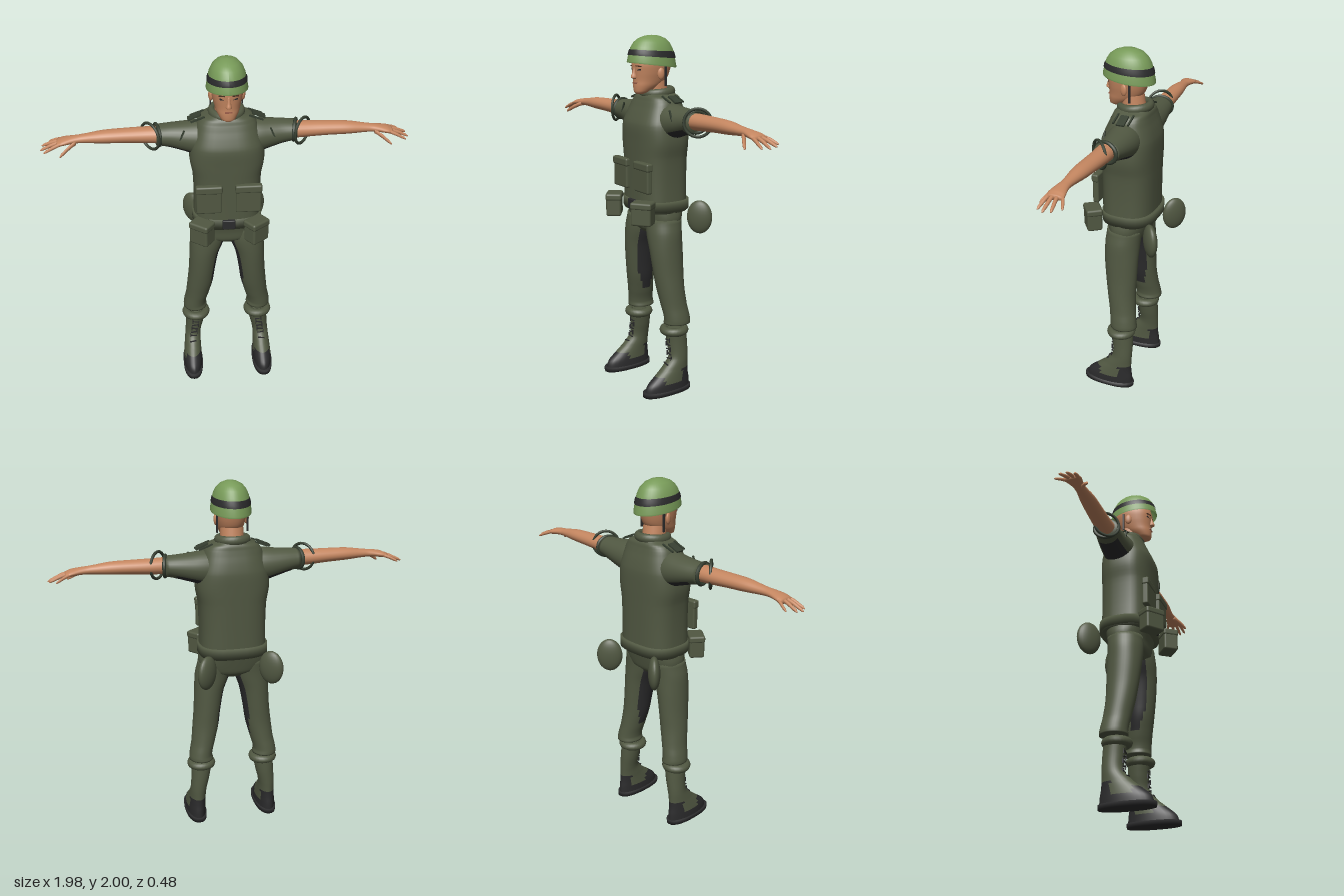
import * as THREE from 'three';
import { RoundedBoxGeometry } from 'three/addons/geometries/RoundedBoxGeometry.js';

const mat = (name, color) => {
  const m = new THREE.MeshStandardMaterial({ color });
  m.name = name;
  return m;
};

// Smooth tube through sections [t, c1, c2, r1, r2] along 'y' (c = x,z) or 'x' (c = y,z).
// pow < 1 makes the section boxier; paint(position, angle) picks a material index per quad.
function loft(sections, axis = 'y', { n = 28, pow = 1, sub = 4, paint = () => 0 } = {}) {
  const rings = [];
  const last = sections.length - 1;
  const at = (i) => sections[Math.min(Math.max(i, 0), last)];
  for (let i = 0; i < last; i++) {
    for (let s = 0; s < sub; s++) {
      const u = s / sub;
      rings.push(at(i).map((b, k) => {
        const c = at(i + 1)[k];
        if (k === 0) return b + (c - b) * u;
        const m0 = (c - at(i - 1)[k]) / 2, m1 = (at(i + 2)[k] - b) / 2;
        return b * (2 * u ** 3 - 3 * u * u + 1) + m0 * (u ** 3 - 2 * u * u + u)
          + c * (3 * u * u - 2 * u ** 3) + m1 * (u ** 3 - u * u);
      }));
    }
  }
  rings.push(sections[last]);
  const pos = [], put = (t, a, b) => pos.push(...(axis === 'y' ? [t, a, b].map((_, i) => [a, t, b][i]) : [t, a, b]));
  const bend = (v) => Math.sign(v) * Math.abs(v) ** pow;
  const sign = axis === 'y' ? 1 : -1;
  for (const [t, c1, c2, r1, r2] of rings) {
    for (let j = 0; j < n; j++) {
      const a = j / n * Math.PI * 2;
      put(t, c1 + bend(Math.cos(a)) * r1, c2 + sign * bend(Math.sin(a)) * r2);
    }
  }
  const m = rings.length, faces = [[], []];
  put(...rings[0].slice(0, 3));
  put(...rings[m - 1].slice(0, 3));
  for (let j = 0; j < n; j++) {
    const k = (j + 1) % n;
    for (let i = 0; i < m - 1; i++) {
      const a = i * n + j, b = a + n, c = i * n + k, d = c + n;
      const p = new THREE.Vector3(pos[a * 3], pos[a * 3 + 1], pos[a * 3 + 2]);
      faces[paint(p, (j + 0.5) / n * Math.PI * 2)].push(a, b, c, c, b, d);
    }
    faces[0].push(m * n, j, k, m * n + 1, (m - 1) * n + k, (m - 1) * n + j);
  }
  const g = new THREE.BufferGeometry();
  g.setAttribute('position', new THREE.Float32BufferAttribute(pos, 3));
  g.setIndex([...faces[0], ...faces[1]]);
  if (faces[1].length) {
    g.addGroup(0, faces[0].length, 0);
    g.addGroup(faces[0].length, faces[1].length, 1);
  }
  g.computeVertexNormals();
  return g;
}

// Mirrored copy across x = 0 with the winding kept outward
function mirror(geo) {
  const g = geo.clone().scale(-1, 1, 1);
  const idx = g.index ? [...g.index.array] : [...Array(g.attributes.position.count).keys()];
  for (let i = 0; i < idx.length; i += 3) [idx[i + 1], idx[i + 2]] = [idx[i + 2], idx[i + 1]];
  g.setIndex(idx);
  return g;
}

const box = (w, h, d, r = 0.01) => new RoundedBoxGeometry(w, h, d, 2, r);
const plate = (w, h, d, x, y, z, ry = 0, rz = 0) =>
  new THREE.BoxGeometry(w, h, d).rotateZ(rz).rotateY(ry).translate(x, y, z);

export function createModel() {
  const uniform = mat('uniform green', 0x515842);
  const helmetGreen = mat('helmet green', 0x779a58);
  const skin = mat('skin', 0xc48660);
  const black = mat('black', 0x2b2b2c);
  const gear = mat('dark gear green', 0x363f31);
  const brow = mat('brow brown', 0x4a3022);
  const lip = mat('lip', 0x9c5f4a);
  for (const m of [helmetGreen]) m.side = THREE.DoubleSide;

  const model = new THREE.Group();
  model.name = 'soldier';
  const add = (name, geo, m) => {
    const mesh = new THREE.Mesh(geo, m);
    mesh.name = name;
    model.add(mesh);
  };
  const pair = (name, geo, m) => {
    add(name + 'Left', geo, m);
    add(name + 'Right', mirror(geo), m);
  };

  // Vest, belt and collar
  add('vest', loft([
    [1.04, 0, -0.005, 0.188, 0.146], [1.2, 0, -0.005, 0.184, 0.146], [1.34, 0, -0.005, 0.188, 0.147],
    [1.43, 0, -0.005, 0.203, 0.148], [1.52, 0, -0.005, 0.197, 0.147], [1.58, 0, -0.01, 0.178, 0.13],
    [1.64, 0, -0.015, 0.158, 0.108], [1.67, 0, -0.018, 0.135, 0.098], [1.69, 0, -0.02, 0.085, 0.085],
  ], 'y', { n: 40, pow: 0.72 }), uniform);
  add('belt', loft([[1.05, 0, -0.01, 0.195, 0.154], [1.105, 0, -0.01, 0.195, 0.154]], 'y',
    { n: 40, pow: 0.72, sub: 1 }), uniform);
  add('buckle', box(0.07, 0.055, 0.02, 0.005).translate(0, 1.078, 0.147), black);
  add('collar', new THREE.TorusGeometry(0.079, 0.02, 10, 36).rotateX(Math.PI / 2)
    .scale(1, 1.25, 1.02).rotateX(0.08).translate(0, 1.692, -0.02), uniform);
  add('collarBase', new THREE.CylinderGeometry(0.077, 0.095, 0.05, 32, 1).translate(0, 1.67, -0.02), uniform);

  // Chest pockets with flaps
  pair('chestPocket', box(0.138, 0.165, 0.035).translate(0.107, 1.242, 0.143), uniform);
  pair('pocketFlap', box(0.146, 0.045, 0.04).translate(0.107, 1.305, 0.145), uniform);

  // Belt pouches set across the front corners
  pair('pouch', box(0.115, 0.12, 0.085, 0.012).rotateY(0.65).translate(0.15, 1.05, 0.173), uniform);
  pair('pouchFlap', box(0.122, 0.04, 0.092, 0.012).rotateY(0.65).translate(0.15, 1.1, 0.173), uniform);

  // Canteens behind the hips, standing out edgewise
  pair('canteen', new THREE.SphereGeometry(1, 24, 16).scale(0.073, 0.096, 0.034)
    .rotateY(0.72).translate(0.182, 0.993, -0.187), uniform);

  // Shoulder tabs
  pair('shoulderTab', plate(0.075, 0.009, 0.045, 0.172, 1.663, -0.02, 0, -0.4), gear);
  for (const z of [-0.06, 0.025]) pair('shoulderLoop', plate(0.08, 0.009, 0.009, 0.155, 1.664, z, 0, -0.35), gear);

  // Trousers with dark inner thighs
  add('hips', loft([
    [0.91, 0, 0, 0.06, 0.07], [0.94, 0, 0, 0.165, 0.1], [1.0, 0, -0.005, 0.194, 0.112],
    [1.08, 0, -0.005, 0.18, 0.13],
  ], 'y', { n: 36, pow: 0.85 }), uniform);
  pair('trouserLeg', loft([
    [0.4, 0.19, -0.03, 0.07, 0.079], [0.43, 0.192, -0.028, 0.066, 0.077], [0.5, 0.176, -0.018, 0.068, 0.077],
    [0.6, 0.158, -0.005, 0.075, 0.082], [0.7, 0.146, 0.002, 0.077, 0.09], [0.82, 0.132, 0.007, 0.085, 0.097],
    [0.92, 0.111, 0.007, 0.1, 0.1], [1.0, 0.1, 0, 0.094, 0.1],
  ], 'y', {
    n: 36,
    paint: (p, a) => (p.y > 0.52 && Math.abs(a - Math.PI) < 0.75 * Math.min(1, (p.y - 0.45) * 5) ? 1 : 0),
  }), [uniform, black]);

  // Boots: sole, upper with dark toe and heel, rolled cuff, laces
  pair('sole', loft([[0, 0.215, 0.055, 0.059, 0.155], [0.026, 0.215, 0.055, 0.06, 0.156]], 'y',
    { sub: 1, pow: 0.85 }), black);
  pair('boot', loft([
    [0.02, 0.215, 0.052, 0.056, 0.146], [0.06, 0.215, 0.046, 0.055, 0.138], [0.1, 0.214, 0.026, 0.052, 0.112],
    [0.14, 0.212, 0.002, 0.049, 0.086], [0.2, 0.208, -0.026, 0.047, 0.06], [0.28, 0.196, -0.027, 0.053, 0.06],
    [0.37, 0.187, -0.02, 0.06, 0.064],
  ], 'y', {
    sub: 6,
    paint: (p) => (p.y < (p.z > 0.09 ? 0.105 : p.z < -0.03 ? 0.135 : 0.065) ? 1 : 0),
  }), [uniform, black]);
  pair('bootCuff', new THREE.TorusGeometry(0.058, 0.025, 10, 28).rotateX(Math.PI / 2)
    .translate(0.187, 0.358, -0.012), uniform);
  for (let i = 0; i < 6; i++) {
    const y = 0.17 + i * 0.027, x = 0.211 - i * 0.004;
    pair('lace', plate(0.04, 0.005, 0.008, x, y, i ? 0.034 : 0.058, 0, i % 2 ? 0.15 : -0.15), black);
    if (i) pair('laceRun', plate(0.005, 0.028, 0.008, x + (i % 2 ? 0.018 : -0.018), y, 0.033), black);
  }

  // Sleeves with dark underarms, and a cuff roll
  pair('sleeve', loft([
    [0.11, 1.54, -0.015, 0.1, 0.095], [0.17, 1.544, -0.018, 0.093, 0.093], [0.23, 1.55, -0.022, 0.08, 0.085],
    [0.3, 1.558, -0.024, 0.066, 0.074], [0.375, 1.564, -0.02, 0.055, 0.067],
  ], 'x', { paint: (p, a) => (p.x < 0.31 && Math.abs(a - Math.PI) < 1.0 ? 1 : 0) }), [uniform, black]);
  pair('sleeveCuff', new THREE.TorusGeometry(0.056, 0.01, 8, 28).scale(1.15, 1, 1).rotateY(Math.PI / 2 - 0.25)
    .translate(0.37, 1.564, -0.018), gear);
  pair('sleeveSlot', plate(0.009, 0.06, 0.008, 0.24, 1.588, 0.054, 0, 0.4), gear);

  // Slanted rings round the upper arms
  pair('armRing', new THREE.TorusGeometry(0.073, 0.008, 8, 32).rotateY(0.88).translate(0.408, 1.566, 0), gear);

  // Arms and hands
  pair('arm', loft([
    [0.34, 1.566, -0.016, 0.046, 0.052], [0.45, 1.567, -0.018, 0.042, 0.05], [0.55, 1.569, -0.015, 0.038, 0.047],
    [0.66, 1.569, -0.01, 0.034, 0.042], [0.77, 1.565, -0.006, 0.023, 0.029], [0.82, 1.562, -0.004, 0.02, 0.034],
    [0.87, 1.555, -0.004, 0.018, 0.045], [0.9, 1.548, -0.006, 0.013, 0.043],
  ], 'x', { n: 24 }), skin);
  const fingers = [ // base x, y, z, tip x, y, z, radius
    [0.87, 1.553, -0.038, 0.95, 1.522, -0.072, 0.009], [0.88, 1.553, -0.016, 0.985, 1.518, -0.032, 0.01],
    [0.88, 1.553, 0.006, 0.99, 1.512, 0.01, 0.01], [0.87, 1.553, 0.027, 0.97, 1.512, 0.045, 0.01],
    [0.8, 1.552, 0.02, 0.885, 1.502, 0.077, 0.012],
  ];
  for (const [x, y, z, tx, ty, tz, r] of fingers) {
    const mix = (a, b, u) => a + (b - a) * u;
    pair('finger', loft([[0, 1], [0.5, 1], [0.9, 0.75], [1, 0.3]].map(([u, s]) =>
      [mix(x, tx, u), mix(y, ty, u * u * 0.4 + u * 0.6), mix(z, tz, u), r * s, r * s]), 'x', { n: 10, sub: 3 }), skin);
  }

  // Head and neck
  add('neck', new THREE.CylinderGeometry(0.06, 0.066, 0.16, 28).rotateX(0.12).translate(0, 1.74, -0.005), skin);
  add('head', loft([
    [1.686, 0, 0.092, 0.018, 0.02], [1.697, 0, 0.078, 0.04, 0.046], [1.73, 0, 0.05, 0.06, 0.077],
    [1.76, 0, 0.03, 0.07, 0.096], [1.8, 0, 0.022, 0.08, 0.107], [1.85, 0, 0.018, 0.086, 0.114],
    [1.91, 0, 0.016, 0.078, 0.102],
  ], 'y', { n: 36, pow: 0.93 }), skin);
  add('nose', loft([
    [1.768, 0, 0.126, 0.01, 0.008], [1.776, 0, 0.129, 0.016, 0.02], [1.8, 0, 0.126, 0.01, 0.016],
    [1.835, 0, 0.122, 0.008, 0.01],
  ], 'y', { n: 14 }), skin);
  pair('ear', new THREE.SphereGeometry(1, 14, 10).scale(0.011, 0.032, 0.02).rotateY(-0.3).translate(0.085, 1.797, 0.012), skin);
  pair('eye', plate(0.024, 0.008, 0.008, 0.034, 1.819, 0.119, 0.35), black);
  pair('eyebrow', plate(0.034, 0.006, 0.008, 0.034, 1.838, 0.123, 0.35, -0.08), brow);
  add('mouth', plate(0.04, 0.008, 0.009, 0, 1.746, 0.124), lip);

  // Helmet, lower at the back, with a dark band and chin straps
  const dome = (points) => new THREE.LatheGeometry(
    points.map(([r, y]) => new THREE.Vector2(r, y)), 40).scale(1, 1, 1.32).translate(0, 0, 0.016);
  const tilt = (g) => {
    const p = g.attributes.position;
    for (let i = 0; i < p.count; i++) {
      const low = Math.max(0, (2 - p.getY(i)) / 0.16);
      p.setY(i, p.getY(i) + (p.getZ(i) - 0.016) * 0.12 * low);
    }
    g.computeVertexNormals();
    return g;
  };
  add('helmet', tilt(dome([[0.109, 1.838], [0.11, 1.846], [0.105, 1.875], [0.101, 1.9], [0.094, 1.93],
    [0.08, 1.96], [0.06, 1.982], [0.032, 1.996], [0, 2]])), helmetGreen);
  add('helmetBand', tilt(dome([[0.106, 1.884], [0.1045, 1.898], [0.099, 1.918]])), black);
  pair('chinStrap', plate(0.008, 0.11, 0.012, 0.084, 1.785, -0.02), black);

  return model;
}
